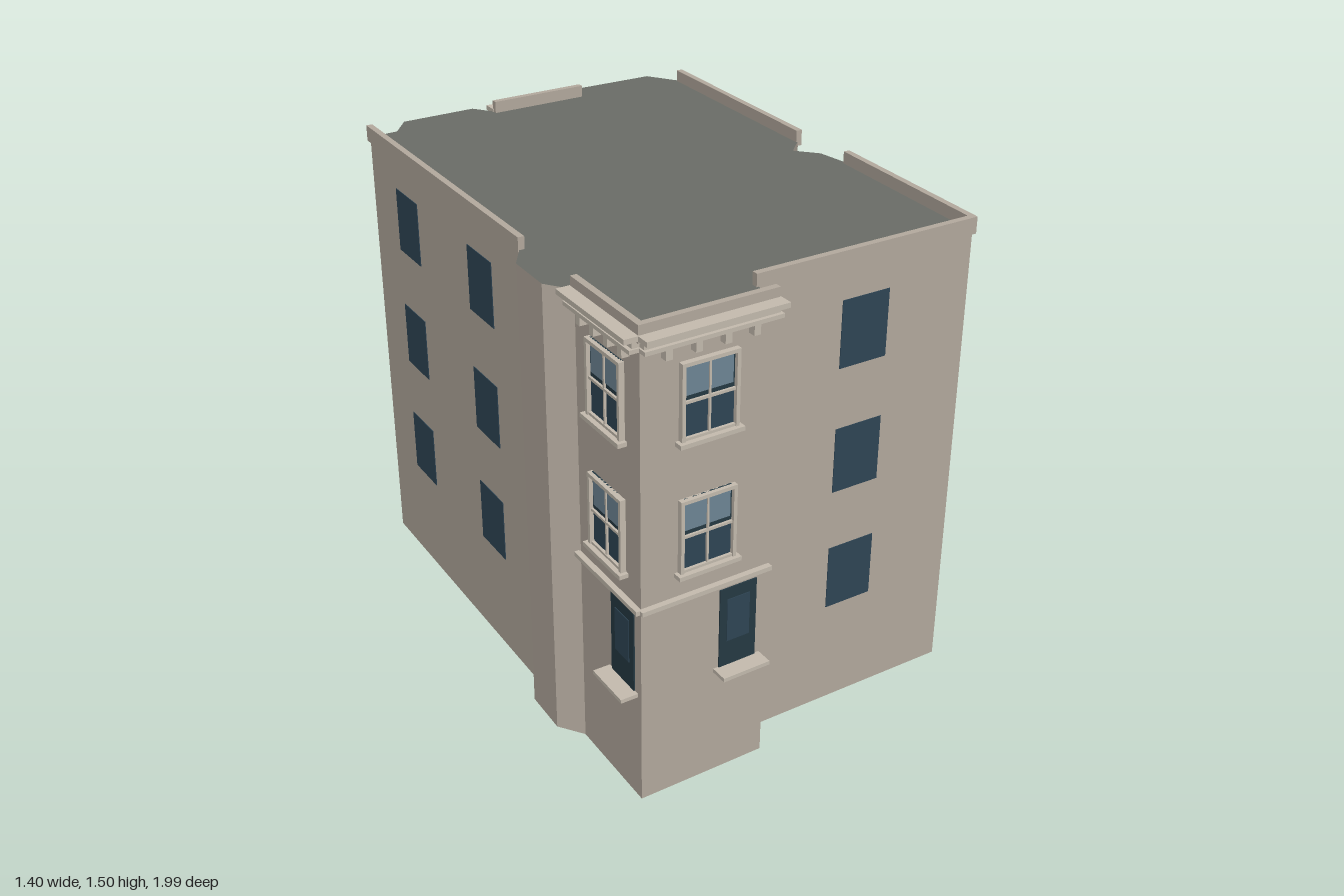
import * as THREE from 'three';

const mat = (color) => new THREE.MeshStandardMaterial({ color });

export function createModel() {
  const model = new THREE.Group();
  model.name = 'cornerBuilding';

  const wallMat = mat(0xb5ab9f), roofMat = mat(0x6b6e68), trim = mat(0xc6bdb0);
  const glass = mat(0x2f4656), skyGlass = mat(0x6f8796), dark = mat(0x263a44), awningMat = mat(0x2c4656);

  // Footprint corners as [x, z], clockwise seen from above
  const plan = [
    [-0.692, -0.735], [-0.60, -0.755], [-0.555, -0.84], [-0.31, -0.885], [-0.245, -0.825],
    [0.065, -0.88], [0.105, -0.96], [0.365, -1], [0.455, -0.905], [0.56, -0.19],
    [0.505, -0.115], [0.575, -0.06], [0.612, 0.05], [0.69, 0.647], [-0.03, 0.77],
    [-0.022, 0.867], [-0.425, 0.94], [-0.478, 0.615], [-0.545, 0.55], [-0.567, 0.40], [-0.528, 0.31],
  ];

  // Main block with a flat roof
  const shape = new THREE.Shape(plan.map(([x, z]) => new THREE.Vector2(x, -z)));
  const blockGeo = new THREE.ExtrudeGeometry(shape, { depth: 1.46, bevelEnabled: false });
  blockGeo.rotateX(-Math.PI / 2);
  const block = new THREE.Mesh(blockGeo, [roofMat, wallMat]);
  block.name = 'wallsAndRoof';
  model.add(block);

  // Group on wall i: x runs along the wall, z points outwards, y = 0 is the ground
  function onWall(i, name) {
    const b = plan[i], a = plan[(i + 1) % plan.length];
    const dx = b[0] - a[0], dz = b[1] - a[1];
    const g = new THREE.Group();
    g.name = name;
    g.position.set((a[0] + b[0]) / 2, 0, (a[1] + b[1]) / 2);
    g.rotation.y = Math.atan2(-dz, dx);
    g.userData.length = Math.hypot(dx, dz);
    model.add(g);
    return g;
  }

  // Box given by its centre x, bottom and top y, width, and back and front z
  function box(parent, name, material, x, y0, y1, w, z0, z1) {
    const m = new THREE.Mesh(new THREE.BoxGeometry(w, y1 - y0, z1 - z0), material);
    m.position.set(x, (y0 + y1) / 2, (z0 + z1) / 2);
    m.name = name;
    parent.add(m);
    return m;
  }

  // Plain windows on three floors: [wall, offset along the wall]
  const floors = [0.34, 0.74, 1.14];
  for (const [i, u] of [[13, 0], [12, 0], [8, 0], [20, -0.26], [20, 0.26]]) {
    const g = onWall(i, 'plainWindows');
    for (const y of floors) box(g, 'plainWindow', glass, u, y, y + 0.208, 0.16, -0.01, 0.002);
  }

  // Parapets
  for (const i of [4, 8, 12, 13, 15, 16, 20]) {
    const g = onWall(i, 'parapet');
    box(g, 'parapetStrip', wallMat, 0, 1.447, 1.498, g.userData.length + 0.015, -0.012, 0.008);
  }

  // Double-hung window with sill, y is the bottom of its frame
  function sashWindow(parent, y) {
    const g = new THREE.Group();
    g.name = 'sashWindow';
    g.position.y = y;
    parent.add(g);
    const w = 0.178, h = 0.225, t = 0.011;
    box(g, 'lowerGlass', glass, 0, 0, h / 2, w - t, -0.005, 0.004);
    box(g, 'upperSash', dark, 0, h / 2, h, w - t, -0.005, 0.005);
    box(g, 'upperGlass', skyGlass, 0, h / 2 + 0.015, h - t, w - 0.032, 0, 0.007);
    for (const s of [-1, 1]) box(g, 'jamb', trim, s * (w - t) / 2, 0, h, t, 0, 0.017);
    box(g, 'head', trim, 0, h - t, h, w, 0, 0.017);
    box(g, 'bottomRail', trim, 0, 0, 0.008, w, 0, 0.013);
    box(g, 'meetingRail', trim, 0, 0.106, 0.114, w, 0, 0.012);
    box(g, 'mullion', trim, 0, 0, h, 0.006, 0, 0.011);
    box(g, 'sill', trim, 0, -0.013, 0, w + 0.022, 0, 0.028);
  }

  // Decorated bay: bracketed cornice and two sash windows
  function bay(i, name) {
    const g = onWall(i, name), L = g.userData.length;
    box(g, 'lowerMoulding', trim, 0, 1.422, 1.434, L + 0.01, 0, 0.033);
    box(g, 'frieze', trim, 0, 1.434, 1.455, L, 0, 0.022);
    box(g, 'corniceSlab', trim, 0, 1.455, 1.47, L + 0.02, 0, 0.05);
    for (let k = -1.5; k <= 1.5; k++) box(g, 'bracket', trim, k * L * 0.216, 1.388, 1.422, 0.02, 0, 0.024);
    for (const y of [0.732, 1.136]) sashWindow(g, y);
    return g;
  }

  // Corner bays with a string course and a tall ground-floor window
  for (const [i, u, name] of [[15, 0.11, 'frontBay'], [16, 0.07, 'sideBay']]) {
    const g = bay(i, name);
    box(g, 'stringCourse', trim, 0, 0.641, 0.655, g.userData.length + 0.012, 0, 0.018);
    box(g, 'tallWindowFrame', dark, u, 0.36, 0.622, 0.122, -0.005, 0.004);
    box(g, 'tallWindowPane', glass, u, 0.445, 0.585, 0.075, 0, 0.006);
    box(g, 'tallWindowSill', trim, u, 0.35, 0.362, 0.155, 0, 0.055);
  }

  // Rear bay with a shop front
  const shop = bay(4, 'shopBay');
  box(shop, 'fascia', dark, 0, 0.59, 0.645, 0.27, 0, 0.012);
  box(shop, 'fasciaLedge', trim, 0, 0.578, 0.59, 0.28, 0, 0.02);
  box(shop, 'shopBacking', dark, 0, 0.25, 0.578, 0.26, -0.005, 0.005);
  for (const s of [-1, 1]) {
    box(shop, 'shopPane', glass, s * 0.062, 0.27, 0.42, 0.108, 0, 0.008);
    box(shop, 'transomPane', skyGlass, s * 0.062, 0.435, 0.565, 0.108, 0, 0.008);
    box(shop, 'shopPost', trim, s * 0.128, 0.25, 0.578, 0.01, 0, 0.016);
  }
  box(shop, 'shopMullion', trim, 0, 0.25, 0.578, 0.008, 0, 0.012);
  box(shop, 'shopTransom', trim, 0, 0.422, 0.432, 0.25, 0, 0.012);
  box(shop, 'shopSill', trim, 0, 0.235, 0.25, 0.275, 0, 0.025);
  box(shop, 'basementWindow', glass, 0.05, 0.165, 0.235, 0.105, -0.005, 0.005);
  box(shop, 'basementSill', trim, 0.05, 0.15, 0.165, 0.14, 0, 0.05);

  // Sloping awning with a hanging front edge
  const sheet = box(shop, 'awning', awningMat, 0, 0.525, 0.531, 0.25, 0.005, 0.125);
  sheet.rotation.x = 0.6;
  box(shop, 'awningValance', awningMat, 0, 0.47, 0.497, 0.25, 0.11, 0.115);

  return model;
}
